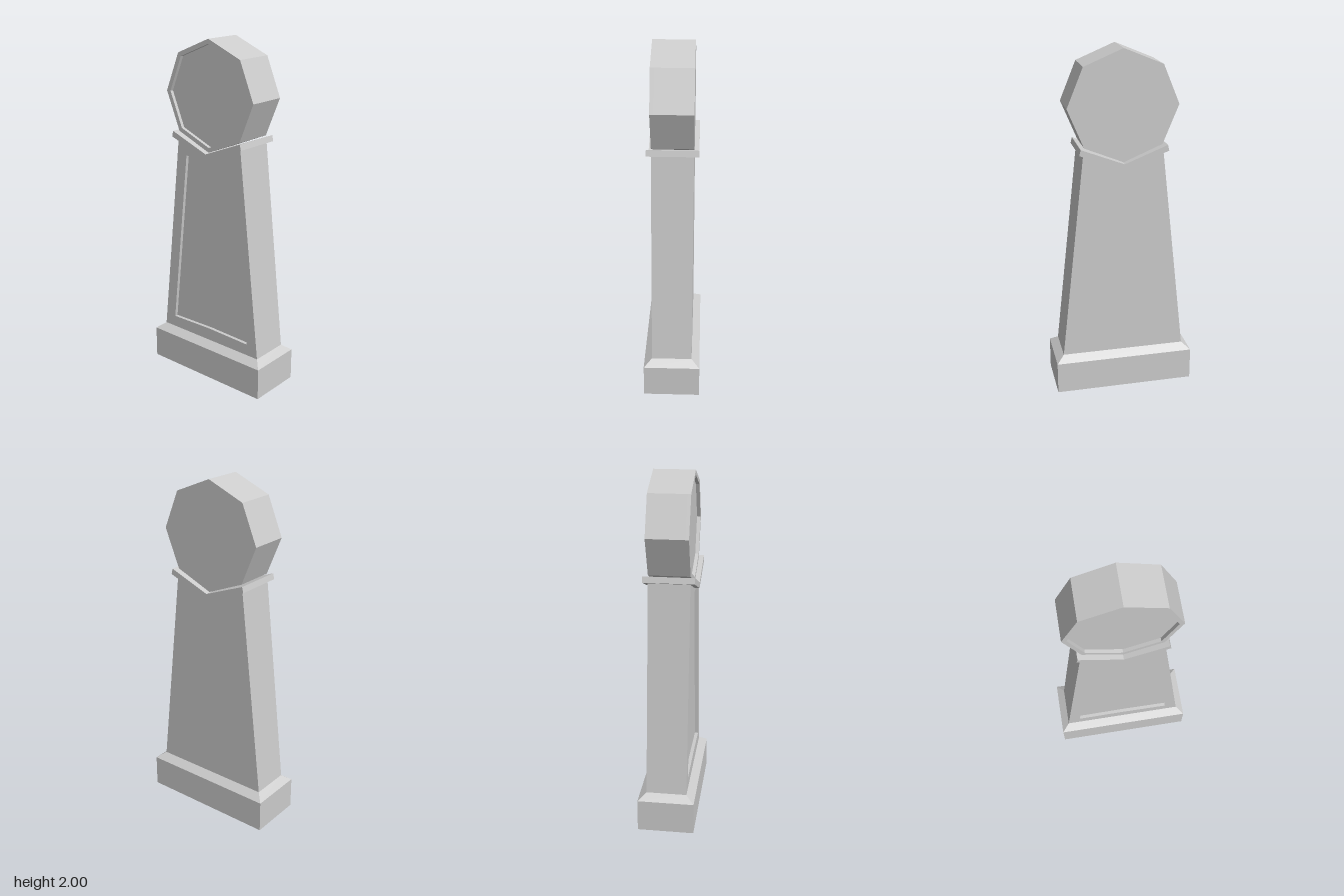
import * as THREE from 'three';

const material = new THREE.MeshStandardMaterial({ color: 0xcccccc, flatShading: true });
const HALF_DEPTH = 0.115;
const RECESS = 0.02;

const toPoints = (list) => list.map(([x, y]) => new THREE.Vector2(x, y));

// Mirrors a right-hand outline (bottom centre to top centre) across x = 0
function mirrored(right) {
  const left = right.filter(([x]) => x > 0).reverse().map(([x, y]) => [-x, y]);
  return toPoints([...right, ...left]);
}

// Flat plate between two z values, with an optional opening
function plate(name, outline, z0, z1, hole) {
  const shape = new THREE.Shape(outline);
  if (hole) shape.holes.push(new THREE.Path(hole));
  const geometry = new THREE.ExtrudeGeometry(shape, { depth: z1 - z0, bevelEnabled: false });
  geometry.translate(0, 0, z0);
  const mesh = new THREE.Mesh(geometry, material);
  mesh.name = name;
  return mesh;
}

// Solid slab with a sunken panel in its front face
function recessedSlab(name, outline, panel) {
  const group = new THREE.Group();
  group.name = name;
  const floor = HALF_DEPTH - RECESS;
  group.add(
    plate(name + 'Slab', outline, -HALF_DEPTH, floor),
    plate(name + 'Frame', outline, floor, HALF_DEPTH, panel),
  );
  return group;
}

function octagon(radius) {
  return toPoints(Array.from({ length: 8 }, (_, i) => {
    const a = (i * Math.PI) / 4;
    return [radius * Math.cos(a), 1.69 + radius * Math.sin(a)];
  }));
}

// Box whose upper corners are drawn in to a smaller rectangle
function taperedBox(name, bottom, top, y0, y1) {
  const geometry = new THREE.BoxGeometry(2, y1 - y0, 2);
  const p = geometry.attributes.position;
  for (let i = 0; i < p.count; i++) {
    const [hx, hz] = p.getY(i) > 0 ? top : bottom;
    p.setX(i, Math.sign(p.getX(i)) * hx);
    p.setZ(i, Math.sign(p.getZ(i)) * hz);
  }
  geometry.translate(0, (y0 + y1) / 2, 0);
  geometry.computeVertexNormals();
  const mesh = new THREE.Mesh(geometry, material);
  mesh.name = name;
  return mesh;
}

export function createModel() {
  const model = new THREE.Group();
  model.name = 'monument';

  // Plinth with a sloped upper edge
  model.add(
    taperedBox('plinth', [0.405, 0.161], [0.405, 0.161], 0, 0.187),
    taperedBox('plinthSlope', [0.405, 0.161], [0.36, HALF_DEPTH], 0.187, 0.222),
  );

  // Tapering shaft with a notched top and sunken front panel
  model.add(recessedSlab(
    'shaft',
    mirrored([[0, 0.222], [0.36, 0.222], [0.224, 1.445], [0, 1.36]]),
    mirrored([[0, 0.297], [0.283, 0.29], [0.168, 1.335], [0, 1.323]]),
  ));

  // V-shaped collar cradling the head
  model.add(plate(
    'collar',
    mirrored([[0, 1.343], [0.251, 1.438], [0.243, 1.471], [0, 1.376]]),
    -0.142, 0.142,
  ));

  // Octagonal head with a sunken face
  model.add(recessedSlab('head', octagon(0.31), octagon(0.283)));

  return model;
}
